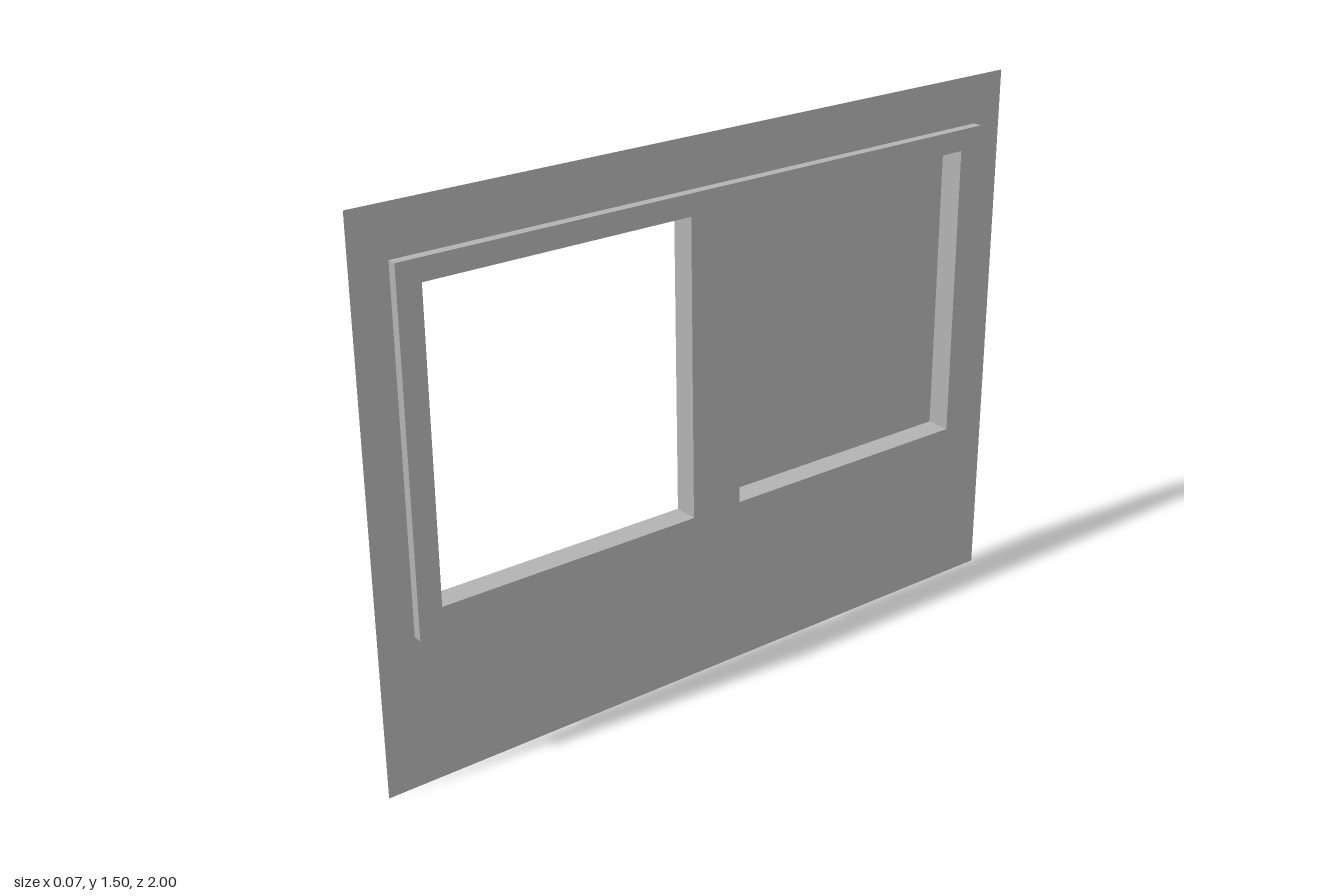
import * as THREE from 'three';

// Outlines are [z, y] corners in the plane of the panel; depth runs along x.
const rect = (z0, z1, y0, y1) => [[z1, y0], [z0, y0], [z0, y1], [z1, y1]];

const SHEET_X = 0.008, RAISED_X = 0.034, BACK_X = -0.035;
const outer = rect(-1, 1, 0, 1.505);
const frame = rect(-0.906, 0.899, 0.418, 1.371);
const pocket = rect(-0.837, -0.076, 0.49, 1.312);
// the open window's inner edge leans very slightly
const opening = [[0.834, 0.49], [0.076, 0.49], [0.081, 1.312], [0.834, 1.312]];

export function createModel() {
  const group = new THREE.Group();
  group.name = 'pressedWindowPanel';
  const grey = new THREE.MeshStandardMaterial({ color: 0xb2b2b2, side: THREE.DoubleSide });
  grey.name = 'panel grey';

  const add = (name, geometry) => {
    const mesh = new THREE.Mesh(geometry, grey);
    mesh.name = name;
    group.add(mesh);
  };

  // flat sheet facing +x, with optional cut-outs
  const sheet = (name, outline, holes, x) => {
    const points = (o) => o.map(([z, y]) => new THREE.Vector2(-z, y));
    const shape = new THREE.Shape(points(outline));
    shape.holes = holes.map((h) => new THREE.Path(points(h)));
    add(name, new THREE.ShapeGeometry(shape).rotateY(Math.PI / 2).translate(x, 0, 0));
  };

  // thin walls following an outline between two depths
  const walls = (name, outline, xBack, xFront) => {
    const positions = [];
    outline.forEach(([z, y], i) => {
      const [z2, y2] = outline[(i + 1) % outline.length];
      positions.push(
        xBack, y, z, xBack, y2, z2, xFront, y2, z2,
        xBack, y, z, xFront, y2, z2, xFront, y, z);
    });
    const geometry = new THREE.BufferGeometry();
    geometry.setAttribute('position', new THREE.Float32BufferAttribute(positions, 3));
    geometry.computeVertexNormals();
    add(name, geometry);
  };

  // main sheet and the raised window surround
  sheet('panelSheet', outer, [frame], SHEET_X);
  walls('surroundEdge', frame, SHEET_X, RAISED_X);
  sheet('windowSurround', frame, [opening, pocket], RAISED_X);

  // open window reveal, and the closed window pocket
  walls('openWindowReveal', opening, BACK_X, RAISED_X);
  walls('closedWindowReveal', pocket, BACK_X, RAISED_X);
  sheet('closedWindowPane', pocket, [], BACK_X);

  return group;
}
